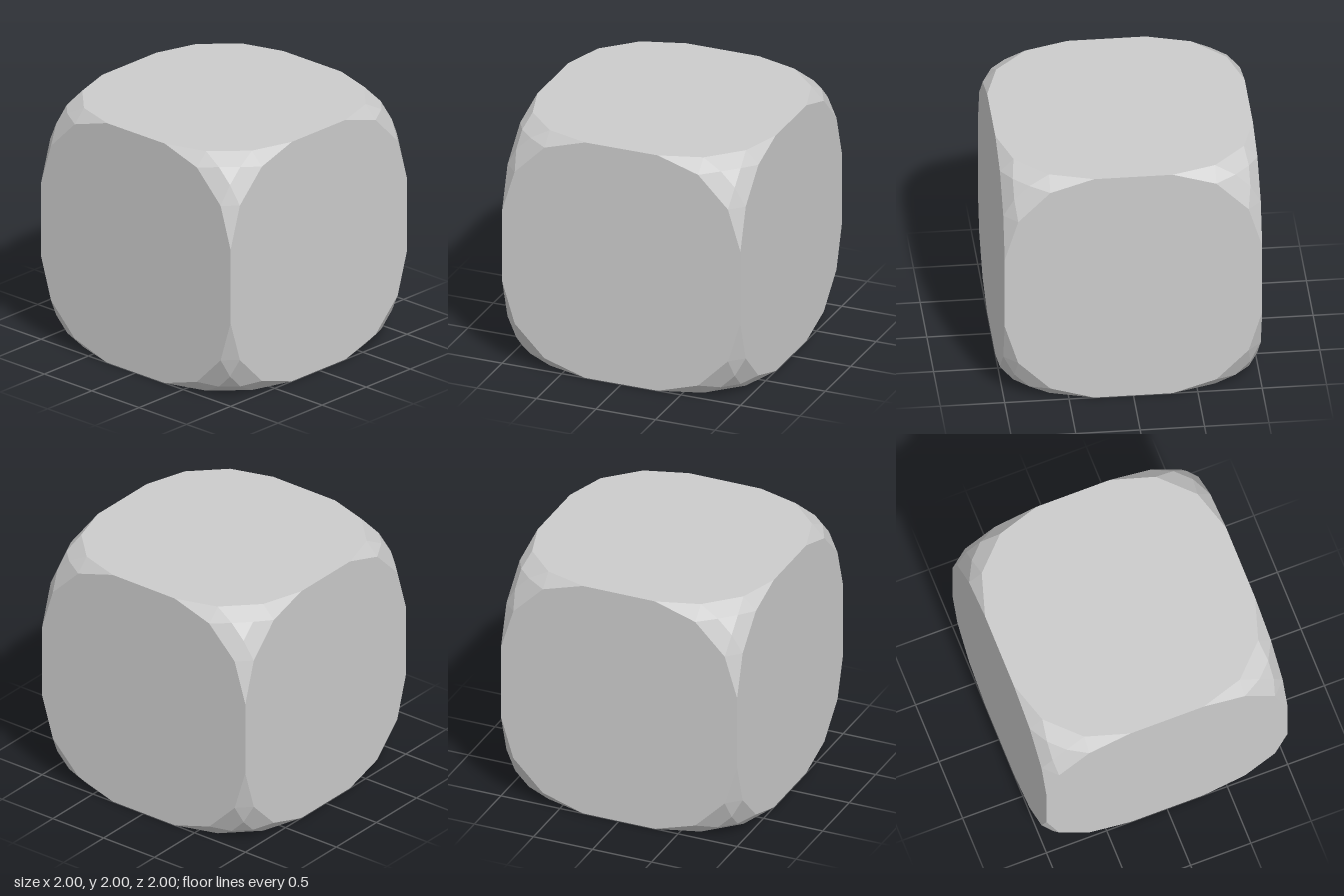
import * as THREE from 'three';
import { ConvexGeometry } from 'three/addons/geometries/ConvexGeometry.js';

// All distinct orderings of three coordinates
function orderings([a, b, c]) {
  const all = [[a, b, c], [a, c, b], [b, a, c], [b, c, a], [c, a, b], [c, b, a]];
  return [...new Map(all.map((p) => [p.join(), p])).values()];
}

export function createModel() {
  const group = new THREE.Group();
  group.name = 'die';

  // Corner points of one octant: end of the straight edge, rim of the flat
  // side, and the small triangle at the tip of the corner
  const octant = [
    [0.305, 1, 1],
    [0.645, 0.895, 1],
    [0.8, 0.917, 0.917],
  ].flatMap(orderings);

  // Mirror the octant to all eight corners
  const points = [];
  for (const sx of [-1, 1])
    for (const sy of [-1, 1])
      for (const sz of [-1, 1])
        for (const [x, y, z] of octant)
          points.push(new THREE.Vector3(sx * x, sy * y, sz * z));

  const material = new THREE.MeshStandardMaterial({ color: 0xcccccc, flatShading: true });
  const body = new THREE.Mesh(new ConvexGeometry(points), material);
  body.name = 'facetedCube';
  body.position.y = 1;
  group.add(body);
  return group;
}
